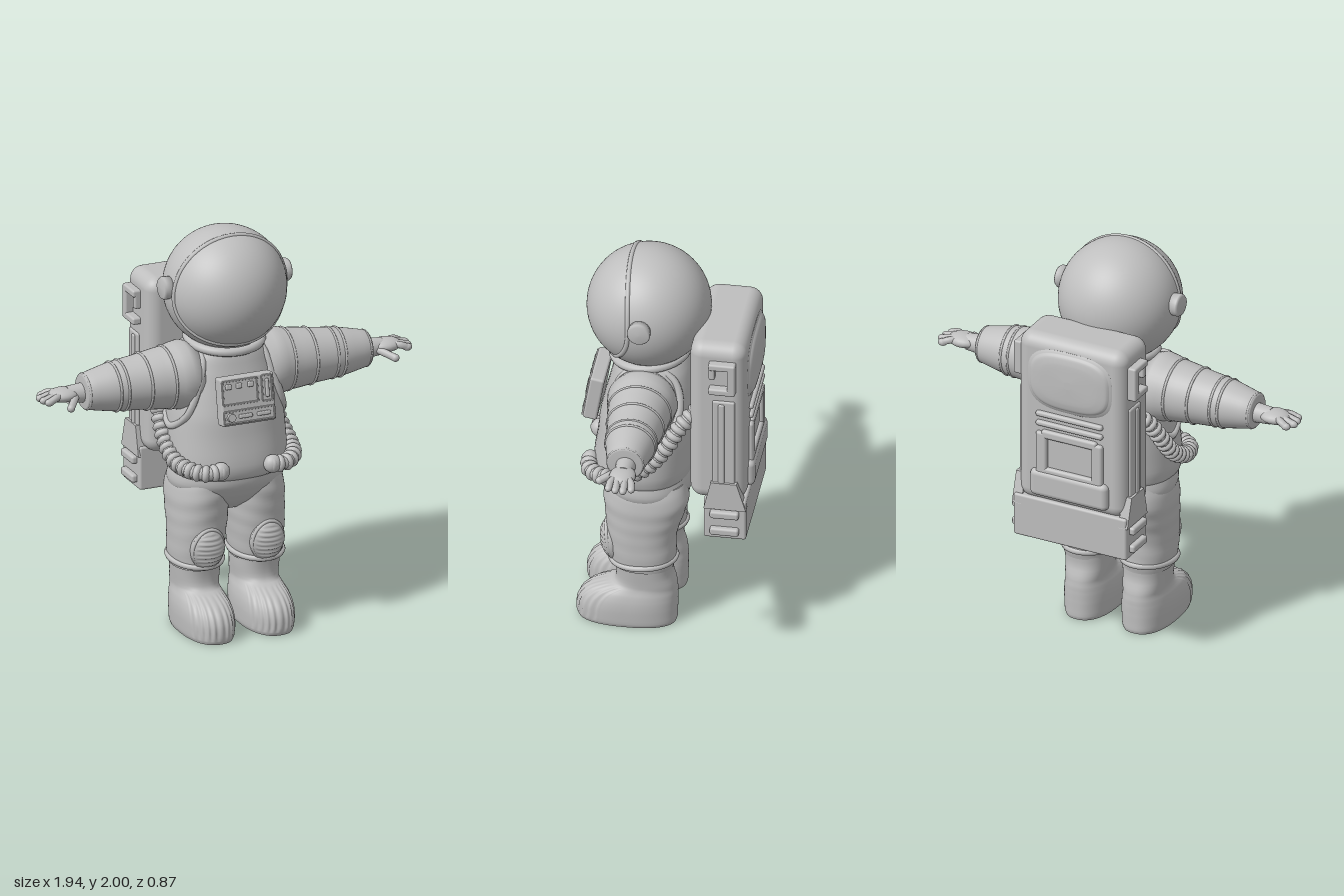
import * as THREE from 'three';
import { RoundedBoxGeometry } from 'three/addons/geometries/RoundedBoxGeometry.js';

const suitGrey = new THREE.MeshStandardMaterial({ color: 0xbfbfbf });
suitGrey.name = 'suit grey';
const V = (x, y, z) => new THREE.Vector3(x, y, z);

// Smooth body through horizontal sections [y, cx, cz, rx, rz]
function loft(rows, { power = 2.2, seg = 56, sub = 4, ripple = () => 1 } = {}) {
  const mid = new THREE.CatmullRomCurve3(rows.map((r) => V(r[1], r[0], r[2])));
  const rad = new THREE.CatmullRomCurve3(rows.map((r) => V(r[3], 0, r[4])));
  const n = (rows.length - 1) * sub, pos = [], idx = [];
  for (let i = 0; i <= n; i++) {
    const c = mid.getPoint(i / n), r = rad.getPoint(i / n);
    for (let j = 0; j < seg; j++) {
      const t = (j / seg) * Math.PI * 2, k = ripple(t, c.y);
      const f = (v) => Math.sign(v) * Math.pow(Math.abs(v), 2 / power) * k;
      pos.push(c.x + r.x * f(Math.cos(t)), c.y, c.z + r.z * f(Math.sin(t)));
    }
  }
  for (let i = 0; i < n; i++) for (let j = 0; j < seg; j++) {
    const a = i * seg + j, b = i * seg + (j + 1) % seg;
    idx.push(a, a + seg, b, b, a + seg, b + seg);
  }
  // flat end caps with their own vertices
  for (const [ring, up] of [[0, false], [n, true]]) {
    const base = pos.length / 3, c = mid.getPoint(ring / n);
    pos.push(c.x, c.y, c.z);
    for (let j = 0; j < seg; j++) {
      const o = (ring * seg + j) * 3;
      pos.push(pos[o], pos[o + 1], pos[o + 2]);
    }
    for (let j = 0; j < seg; j++) {
      const a = base + 1 + j, b = base + 1 + (j + 1) % seg;
      idx.push(base, up ? b : a, up ? a : b);
    }
  }
  const g = new THREE.BufferGeometry();
  g.setAttribute('position', new THREE.Float32BufferAttribute(pos, 3));
  g.setIndex(idx);
  g.computeVertexNormals();
  return g;
}

const box = (w, h, d, r, x, y, z) => new RoundedBoxGeometry(w, h, d, 2, r).translate(x, y, z);
const ball = (rx, ry, rz, x, y, z) => new THREE.SphereGeometry(1, 20, 14).scale(rx, ry, rz).translate(x, y, z);
const tube = (pts, r, closed = false, n = 48) =>
  new THREE.TubeGeometry(new THREE.CatmullRomCurve3(pts, closed), n, r, 8, closed);

// Mirror a geometry across x = 0, keeping its faces outward
function mirrored(g) {
  const m = g.index ? g.toNonIndexed() : g.clone();
  m.scale(-1, 1, 1);
  for (const a of Object.values(m.attributes)) for (let i = 0; i < a.count; i += 3)
    for (let k = 0; k < a.itemSize; k++) {
      const s = a.getComponent(i + 1, k);
      a.setComponent(i + 1, k, a.getComponent(i + 2, k));
      a.setComponent(i + 2, k, s);
    }
  return m;
}

export function createModel() {
  const model = new THREE.Group();
  model.name = 'astronaut';
  const add = (name, g) => {
    const m = new THREE.Mesh(g, suitGrey);
    m.name = name;
    model.add(m);
  };
  const pair = (name, g) => {
    add('left ' + name, g);
    add('right ' + name, mirrored(g));
  };

  // Helmet, visor rim and ear caps
  add('helmet', new THREE.SphereGeometry(0.299, 64, 40).translate(0, 1.7, 0.107));
  const rim = [];
  for (let i = 0; i < 32; i++) {
    const t = (i / 32) * Math.PI * 2, s = Math.sin(t);
    const d = V(Math.cos(t), s, 0.2 + (s > 0 ? 0.09 * s * s : 0.58 * s * s));
    rim.push(d.normalize().multiplyScalar(0.294).add(V(0, 1.7, 0.107)));
  }
  add('visor rim', tube(rim, 0.013, true, 96));
  const cap = [[0, 0], [0.054, 0], [0.056, 0.045], [0.048, 0.056], [0, 0.058]];
  pair('ear cap', new THREE.LatheGeometry(cap.map((p) => new THREE.Vector2(...p)), 32)
    .rotateZ(-Math.PI / 2).translate(0.277, 1.735, 0.107));

  // Torso, collar and pelvis
  add('torso', loft([
    [0.775, 0, 0.115, 0.25, 0.19], [0.805, 0, 0.125, 0.28, 0.23], [0.87, 0, 0.125, 0.292, 0.24],
    [1.0, 0, 0.112, 0.288, 0.235], [1.1, 0, 0.105, 0.28, 0.232], [1.2, 0, 0.093, 0.265, 0.222],
    [1.3, 0, 0.085, 0.245, 0.205], [1.38, 0, 0.085, 0.215, 0.185], [1.43, 0, 0.09, 0.18, 0.165],
    [1.47, 0, 0.1, 0.14, 0.14]], { power: 2.3 }));
  add('collar', new THREE.TorusGeometry(0.178, 0.022, 10, 48).rotateX(Math.PI / 2 + 0.1).translate(0, 1.44, 0.1));
  add('pelvis', loft([
    [0.6, 0, 0.1, 0.1, 0.1], [0.65, 0, 0.1, 0.2, 0.165], [0.7, 0, 0.1, 0.265, 0.205],
    [0.76, 0, 0.11, 0.284, 0.225], [0.83, 0, 0.12, 0.27, 0.22]]));

  // Vest edge around each shoulder
  pair('shoulder harness', tube([
    V(0.15, 1.435, 0.09), V(0.16, 1.38, 0.21), V(0.2, 1.25, 0.25), V(0.25, 1.11, 0.225),
    V(0.285, 1.03, 0.1), V(0.25, 1.11, -0.02), V(0.2, 1.25, -0.075), V(0.165, 1.38, -0.04)], 0.018, true, 64));

  // Sleeves with stitched bands
  const sleeve = [[0.001, 0], [0.15, 0], [0.17, 0.06], [0.163, 0.11], [0.152, 0.15], [0.147, 0.2], [0.139, 0.26],
    [0.133, 0.3], [0.127, 0.36], [0.121, 0.42], [0.109, 0.48], [0.098, 0.53], [0.088, 0.575], [0.08, 0.583], [0.001, 0.583]];
  const place = (g) => g.rotateZ(-Math.PI / 2 - 0.022).translate(0.16, 1.282, 0.104);
  pair('sleeve', place(new THREE.LatheGeometry(sleeve.map((p) => new THREE.Vector2(...p)), 40)));
  for (const [x, r] of [[0.15, 0.151], [0.27, 0.137], [0.385, 0.122], [0.425, 0.119], [0.57, 0.085]])
    pair('sleeve band', place(new THREE.TorusGeometry(r, 0.007, 6, 40).rotateX(Math.PI / 2).translate(0, x, 0)));

  // Gloves
  pair('glove wrist', new THREE.CylinderGeometry(0.042, 0.05, 0.1, 24).rotateZ(-Math.PI / 2).translate(0.77, 1.265, 0.1));
  pair('palm', ball(0.08, 0.034, 0.064, 0.84, 1.27, 0.1));
  [0.048, 0.082, 0.116, 0.148].forEach((z, i) => {
    const r = 0.018, x = [0.945, 0.965, 0.962, 0.95][i] - r, tipZ = z + (z - 0.1) * 0.1;
    pair('finger', tube([V(0.85, 1.275, 0.07 + z * 0.3), V(0.9, 1.273, z), V(x, 1.26, tipZ)], r, false, 12));
    pair('fingertip', ball(r * 1.3, r, r, x, 1.26, tipZ));
  });
  pair('thumb', tube([V(0.78, 1.262, 0.12), V(0.815, 1.25, 0.17), V(0.845, 1.237, 0.21)], 0.019, false, 12));
  pair('thumb tip', ball(0.019, 0.019, 0.019, 0.845, 1.237, 0.21));

  // Trouser legs with soft folds, cuffs and ribbed knee pads
  pair('trouser leg', loft([
    [0.32, 0.157, 0.107, 0.118, 0.148], [0.37, 0.157, 0.108, 0.127, 0.158], [0.5, 0.152, 0.115, 0.134, 0.168],
    [0.6, 0.147, 0.105, 0.14, 0.188], [0.7, 0.143, 0.097, 0.141, 0.205], [0.78, 0.13, 0.105, 0.13, 0.19]],
  { sub: 6, ripple: (t, y) => 1 + 0.007 * Math.sin(y * 75 + 2.5 * Math.cos(t)) }));
  const cuff = Array.from({ length: 24 }, (_, i) => {
    const t = (i / 24) * Math.PI * 2;
    return V(0.157 + 0.125 * Math.cos(t), 0.352 - 0.012 * Math.sin(t), 0.108 + 0.156 * Math.sin(t));
  });
  pair('trouser cuff', tube(cuff, 0.015, true));
  const knee = new THREE.SphereGeometry(1, 32, 56);
  const kp = knee.attributes.position;
  for (let i = 0; i < kp.count; i++) {
    const inside = Math.hypot(kp.getX(i), kp.getY(i)) < 0.82;
    if (inside) kp.setZ(i, kp.getZ(i) * (0.98 + 0.07 * Math.cos(kp.getY(i) * 30)));
  }
  knee.computeVertexNormals();
  pair('knee pad', knee.scale(0.086, 0.112, 0.06).rotateX(0.18).translate(0.155, 0.435, 0.255));
  pair('knee pad rim', new THREE.TorusGeometry(1, 0.11, 8, 40).scale(0.078, 0.103, 0.1)
    .rotateX(0.18).translate(0.155, 0.435, 0.268));

  // Boots with ribbed toes
  pair('boot', loft([
    [0, 0.155, 0.185, 0.115, 0.235], [0.02, 0.155, 0.186, 0.122, 0.242], [0.08, 0.155, 0.185, 0.125, 0.242],
    [0.13, 0.155, 0.174, 0.123, 0.232], [0.17, 0.155, 0.152, 0.115, 0.21], [0.197, 0.155, 0.122, 0.106, 0.177],
    [0.22, 0.155, 0.098, 0.104, 0.15], [0.28, 0.155, 0.102, 0.11, 0.138], [0.35, 0.157, 0.105, 0.115, 0.145]], {
    power: 2.4, seg: 168, sub: 3,
    ripple: (t, y) => 1 + (Math.sin(t) > 0.45 && y > 0.025 && y < 0.2 ? 0.017 * Math.cos(t * 28) : 0),
  }));

  // Chest control panel, tilted with the chest
  const panel = (name, g) => add(name, g.rotateX(-0.17).translate(0, 1.21, 0.355));
  panel('chest panel', box(0.28, 0.235, 0.07, 0.012, 0, 0, 0));
  const frame = (w, h, x, y) => {
    for (const s of [-1, 1]) {
      panel('panel frame', box(w, 0.008, 0.012, 0.003, x, y + s * h / 2, 0.036));
      panel('panel frame', box(0.008, h, 0.012, 0.003, x + s * w / 2, y, 0.036));
    }
  };
  frame(0.18, 0.115, -0.04, 0.045);
  frame(0.05, 0.125, 0.1, 0.045);
  frame(0.26, 0.06, 0, -0.075);
  for (const x of [-0.1, -0.045, 0.015]) panel('panel button', box(0.03, 0.026, 0.02, 0.006, x, 0.075, 0.036));
  panel('panel lever', box(0.018, 0.09, 0.02, 0.006, 0.1, 0.045, 0.036));
  panel('panel dial', new THREE.CylinderGeometry(0.02, 0.022, 0.02, 24).rotateX(Math.PI / 2).translate(-0.095, -0.075, 0.04));
  for (const x of [-0.02, 0.075]) panel('panel switch', box(0.07, 0.02, 0.018, 0.006, x, -0.075, 0.036));

  // Ribbed air hoses from the belly round to the backpack
  const hose = new THREE.CatmullRomCurve3([
    V(0.13, 0.862, 0.37), V(0.2, 0.858, 0.365), V(0.265, 0.865, 0.31), V(0.3, 0.885, 0.2),
    V(0.3, 0.96, 0.07), V(0.285, 1.07, -0.02), V(0.25, 1.17, -0.08), V(0.2, 1.24, -0.15)]);
  pair('hose core', new THREE.TubeGeometry(hose, 48, 0.033, 10));
  for (let i = 0; i <= 20; i++) {
    const p = hose.getPointAt(i / 20), d = hose.getTangentAt(i / 20);
    const q = new THREE.Quaternion().setFromUnitVectors(V(0, 0, 1), d);
    pair('hose rib', new THREE.SphereGeometry(1, 16, 10).scale(0.043, 0.043, 0.025).applyQuaternion(q).translate(p.x, p.y, p.z));
  }
  pair('hose connector', ball(0.045, 0.045, 0.04, 0.135, 0.862, 0.37));

  // Backpack body and rear padding
  add('backpack', new RoundedBoxGeometry(0.58, 0.89, 0.275, 5, 0.065).translate(0, 1.235, -0.268));
  add('upper back pad', loft([
    [0, 0, 0, 0.215, 0.15], [0.015, 0, 0, 0.215, 0.15], [0.028, 0, 0, 0.2, 0.135], [0.036, 0, 0, 0.15, 0.1],
    [0.04, 0, 0, 0.02, 0.02]], { power: 3 }).rotateX(-Math.PI / 2).translate(0, 1.47, -0.395));
  for (const y of [1.275, 1.225]) add('back bar', box(0.36, 0.028, 0.03, 0.012, 0, y, -0.41));
  add('lower back pad', box(0.42, 0.14, 0.06, 0.028, 0, 0.905, -0.405));
  for (const s of [-1, 1]) {
    add('pocket frame side', box(0.06, 0.24, 0.04, 0.014, s * 0.15, 1.06, -0.405));
    add('pocket frame edge', box(0.3, 0.045, 0.04, 0.014, 0, 1.07 + s * 0.1, -0.405));
  }

  // Backpack side clips and rails
  for (const y of [1.445, 1.585]) pair('side clip arm', box(0.05, 0.035, 0.13, 0.01, 0.305, y, -0.295));
  pair('side clip spine', box(0.05, 0.175, 0.04, 0.01, 0.305, 1.515, -0.34));
  pair('side clip tab', box(0.04, 0.085, 0.03, 0.01, 0.3, 1.55, -0.245));
  pair('side rail', box(0.03, 0.49, 0.11, 0.01, 0.285, 1.13, -0.3));
  pair('side rail strip', box(0.02, 0.46, 0.03, 0.008, 0.298, 1.13, -0.29));

  // Lower equipment box with side brackets
  add('equipment box', box(0.61, 0.22, 0.205, 0.012, 0, 0.7, -0.307));
  const wing = new THREE.Shape([[0.205, 0.76], [0.41, 0.76], [0.365, 0.91], [0.24, 0.91]].map((p) => new THREE.Vector2(...p)));
  pair('bracket', new THREE.ExtrudeGeometry(wing, { depth: 0.05, bevelEnabled: false }).rotateY(Math.PI / 2).translate(0.262, 0, 0));
  for (const y of [0.735, 0.64]) pair('bracket bar', box(0.05, 0.04, 0.14, 0.012, 0.307, y, -0.307));
  return model;
}
